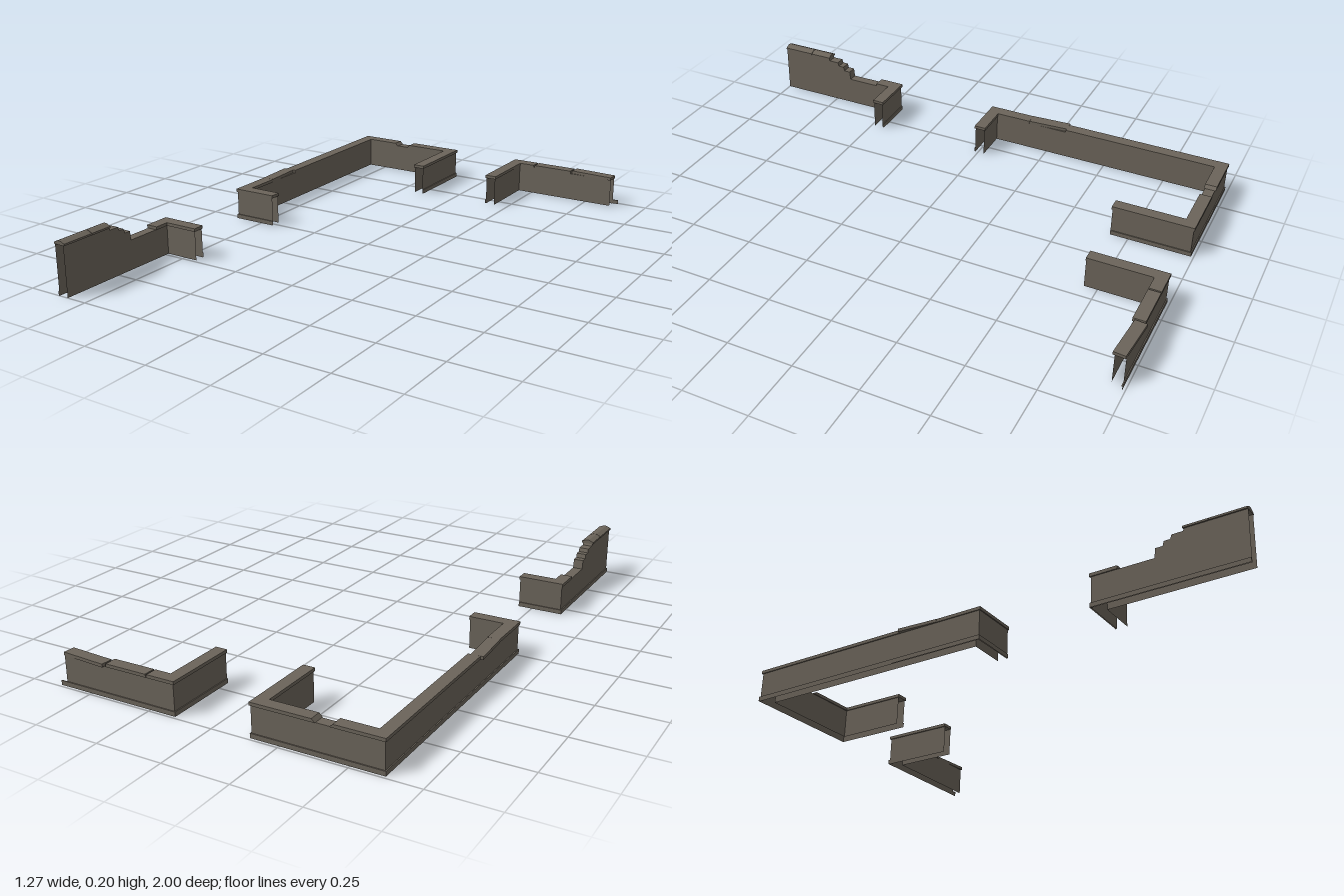
import * as THREE from 'three';

const HALF = 0.019;   // half thickness of the wall shell
const WIDE = 0.023;   // half width of plinth and coping
const TOP = 0.113;    // wall height
const CAP = 0.012;    // coping thickness

export function createModel() {
  const model = new THREE.Group();
  const stone = new THREE.MeshStandardMaterial({ color: 0x6b645a, side: THREE.DoubleSide });
  stone.name = 'weathered stone';

  function add(parent, name, geometry) {
    const mesh = new THREE.Mesh(geometry, stone);
    mesh.name = name;
    parent.add(mesh);
    return mesh;
  }

  // Moves a path sideways with mitred corners; points are [x, z, height]
  function offset(path, d) {
    const normal = (p, q) => new THREE.Vector2(q[1] - p[1], p[0] - q[0]).normalize();
    return path.map((p, i) => {
      const a = normal(path[Math.max(i - 1, 0)], path[Math.max(i, 1)]);
      const last = path.length - 1;
      const b = normal(path[Math.min(i, last - 1)], path[Math.min(i + 1, last)]);
      const m = a.clone().add(b).multiplyScalar(d / (1 + a.dot(b)));
      return [p[0] + m.x, p[1] + m.y, p[2]];
    });
  }

  // Flat quads between two rows of points
  function strip(a, b) {
    const out = [];
    for (let i = 0; i + 1 < a.length; i++) {
      out.push(...a[i], ...b[i], ...b[i + 1], ...a[i], ...b[i + 1], ...a[i + 1]);
    }
    const g = new THREE.BufferGeometry();
    g.setAttribute('position', new THREE.Float32BufferAttribute(out, 3));
    g.computeVertexNormals();
    return g;
  }

  const atHeight = (row, y) => row.map(p => [p[0], y ?? p[2], p[1]]);

  // Hollow wall, open at the ends and below, with a plinth on its outer side
  function wall(name, path, plinthPath) {
    const group = new THREE.Group();
    group.name = name;
    const outer = offset(path, HALF), inner = offset(path, -HALF);
    add(group, 'outerFace', strip(atHeight(outer, 0), atHeight(outer)));
    add(group, 'innerFace', strip(atHeight(inner), atHeight(inner, 0)));
    add(group, 'wallTop', strip(atHeight(outer), atHeight(inner)));
    const foot = offset(plinthPath, WIDE), back = offset(plinthPath, HALF);
    add(group, 'plinthFace', strip(atHeight(foot, 0), atHeight(foot, 0.017)));
    add(group, 'plinthTop', strip(atHeight(foot, 0.017), atHeight(back, 0.017)));
    model.add(group);
    return group;
  }

  // Coping slab over a rectangle; chips slope its left and right ends
  function coping(group, x0, x1, z0, z1, chipLeft = 0, chipRight = 0, turn = 0) {
    const g = new THREE.BoxGeometry(x1 - x0, CAP, z1 - z0);
    const p = g.attributes.position;
    for (let i = 0; i < p.count; i++) {
      if (p.getY(i) > 0) p.setX(i, p.getX(i) + (p.getX(i) < 0 ? chipLeft : -chipRight));
    }
    g.computeVertexNormals();
    const slab = add(group, 'coping', g);
    slab.position.set((x0 + x1) / 2, TOP + CAP / 2, (z0 + z1) / 2);
    slab.rotation.y = turn;
  }

  // Long wall with two corners and short returns
  const longPath = [[-0.445, -0.007, TOP], [-0.599, -0.007, TOP], [-0.599, -0.967, TOP],
    [-0.165, -0.967, TOP], [-0.165, -0.68, TOP]];
  const long = wall('longWall', longPath, longPath);
  coping(long, -0.622, -0.443, -0.03, 0.016);
  coping(long, -0.622, -0.576, -0.17, -0.03);
  coping(long, -0.628, -0.582, -0.33, -0.17, 0, 0, 0.06);
  coping(long, -0.622, -0.576, -0.944, -0.33);
  coping(long, -0.622, -0.43, -0.99, -0.944, 0, 0.012);
  coping(long, -0.38, -0.142, -0.99, -0.944, 0.012, 0);
  coping(long, -0.188, -0.142, -0.944, -0.677);

  // Short corner wall, its plinth running past the broken end
  const corner = [[0.172, -0.7, TOP], [0.172, -0.967, TOP]];
  const short = wall('shortWall', [...corner, [0.61, -0.967, TOP]], [...corner, [0.633, -0.967, TOP]]);
  coping(short, 0.148, 0.194, -0.944, -0.699);
  coping(short, 0.148, 0.26, -0.99, -0.944, 0, 0.003);
  coping(short, 0.26, 0.43, -0.99, -0.944, 0.003, 0.003);
  coping(short, 0.434, 0.612, -0.992, -0.947, 0, 0, -0.075);

  // High wall that crumbles down in steps to a low corner
  const steps = [[1, 0.19], [0.785, 0.19], [0.78, 0.18], [0.74, 0.18], [0.735, 0.165],
    [0.712, 0.165], [0.708, 0.148], [0.682, 0.148], [0.678, TOP], [0.467, TOP]];
  const highPath = steps.map(([z, y]) => [-0.599, z, y]);
  highPath.push([-0.445, 0.467, TOP]);
  const high = wall('crumblingWall', highPath, [[-0.599, 1], [-0.599, 0.467], [-0.445, 0.467]]);
  coping(high, -0.622, -0.443, 0.444, 0.49);
  coping(high, -0.622, -0.576, 0.49, 0.547);

  // Ridged coping on the high part
  const ridge = new THREE.Shape([[-0.024, 0], [0.024, 0], [0.024, 0.007], [0.006, 0.015],
    [-0.006, 0.015], [-0.024, 0.007]].map(p => new THREE.Vector2(...p)));
  for (const [z0, z1] of [[0.78, 0.869], [0.871, 1]]) {
    const slab = add(high, 'ridgeCoping',
      new THREE.ExtrudeGeometry(ridge, { depth: z1 - z0, bevelEnabled: false }));
    slab.position.set(-0.599, 0.189, z0);
  }

  return model;
}
